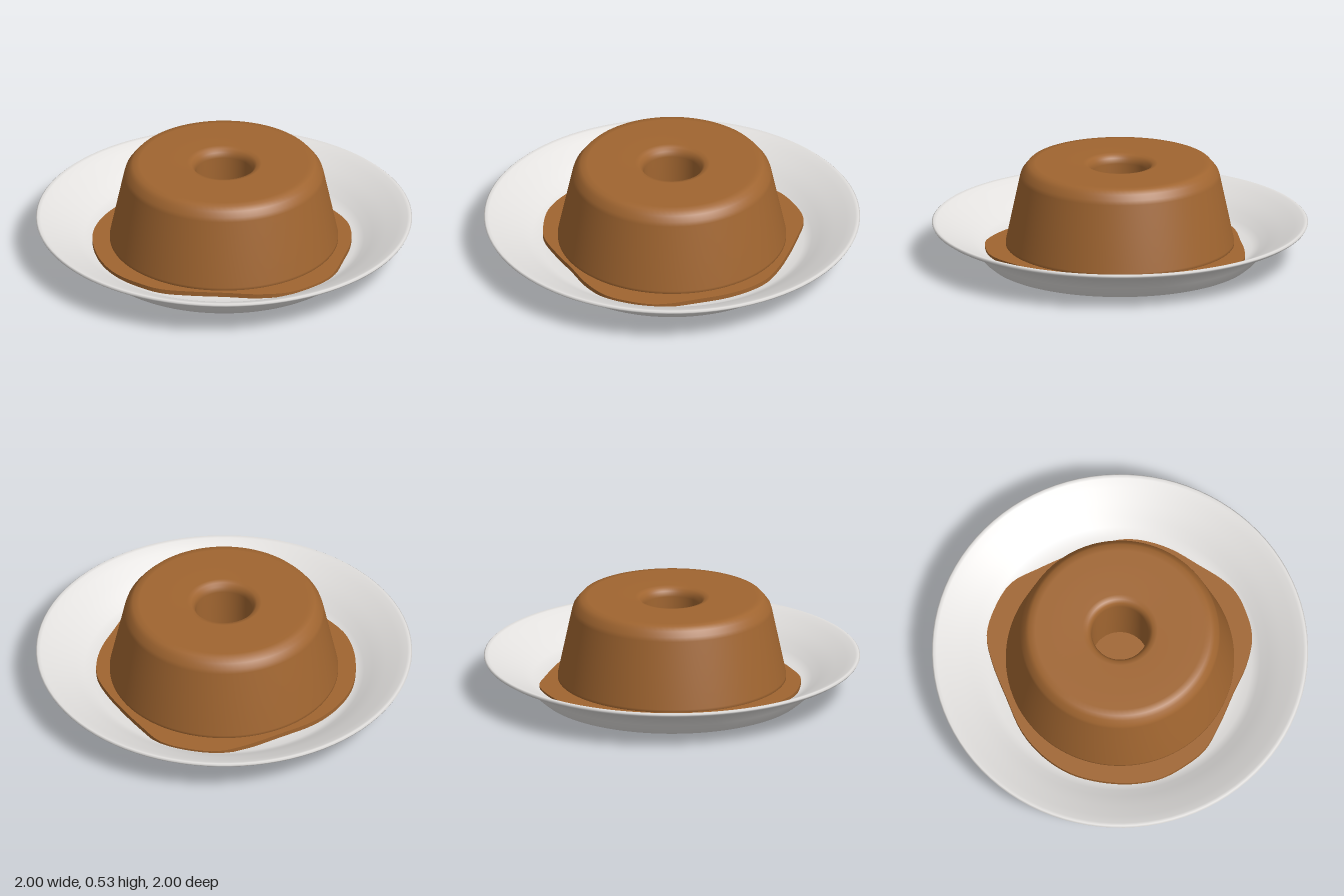
import * as THREE from 'three';

const glaze = new THREE.MeshStandardMaterial({ color: 0xa06530 });
glaze.name = 'caramel brown';
const china = new THREE.MeshStandardMaterial({ color: 0xe2e0de });
china.name = 'plate white';

// One smooth lathe per section, so edges between sections stay sharp
function lathe(name, material, sections) {
  const group = new THREE.Group();
  group.name = name;
  for (const [part, profile] of Object.entries(sections)) {
    const points = profile.map(([r, y]) => new THREE.Vector2(r, y));
    const mesh = new THREE.Mesh(new THREE.LatheGeometry(points, 96), material);
    mesh.name = part;
    group.add(mesh);
  }
  return group;
}

export function createModel() {
  const model = new THREE.Group();
  model.name = 'puddingOnPlate';

  // Wide dish with a flared rim
  model.add(lathe('plate', china, {
    plateBottom: [[0, 0], [0.705, 0]],
    plateOutside: [[0.705, 0], [0.735, 0.025], [0.765, 0.065], [0.8, 0.11], [0.88, 0.145],
      [0.975, 0.18], [0.995, 0.193], [1, 0.203], [0.992, 0.21], [0.975, 0.207],
      [0.93, 0.187], [0.86, 0.152], [0.79, 0.115], [0.745, 0.083], [0.7, 0.063], [0.62, 0.055], [0, 0.055]],
  }));

  // Ring-shaped pudding with bevelled top and a central hole
  model.add(lathe('pudding', glaze, {
    puddingBase: [[0.15, 0.07], [0.595, 0.07]],
    puddingBody: [[0.595, 0.07], [0.607, 0.082], [0.607, 0.1], [0.567, 0.29], [0.532, 0.455], [0.525, 0.478],
      [0.505, 0.505], [0.485, 0.527], [0.45, 0.53], [0.2, 0.53], [0.175, 0.524], [0.16, 0.508], [0.15, 0.48], [0.15, 0.07]],
  }));

  // Irregular sauce puddle, outline given as x, z pairs
  const outline = [
    [0.15, -0.705], [0.3, -0.66], [0.44, -0.57], [0.52, -0.42], [0.59, -0.26], [0.65, -0.09],
    [0.675, 0.04], [0.66, 0.16], [0.61, 0.29], [0.52, 0.43], [0.43, 0.56], [0.36, 0.625],
    [0.25, 0.675], [0.11, 0.705], [-0.05, 0.67], [-0.2, 0.6], [-0.38, 0.52], [-0.52, 0.44],
    [-0.61, 0.33], [-0.68, 0.2], [-0.705, 0.05], [-0.69, -0.12], [-0.64, -0.28], [-0.54, -0.42],
    [-0.4, -0.53], [-0.2, -0.61], [0, -0.68],
  ].map(([x, z]) => new THREE.Vector3(x, -z, 0));
  const curve = new THREE.CatmullRomCurve3(outline, true);
  const shape = new THREE.Shape(curve.getPoints(108).slice(0, -1).map((p) => new THREE.Vector2(p.x, p.y)));
  const puddle = new THREE.ExtrudeGeometry(shape, { depth: 0.025, bevelEnabled: false });
  puddle.rotateX(-Math.PI / 2);
  const sauce = new THREE.Mesh(puddle, glaze);
  sauce.name = 'saucePuddle';
  sauce.position.y = 0.06;
  model.add(sauce);

  return model;
}
